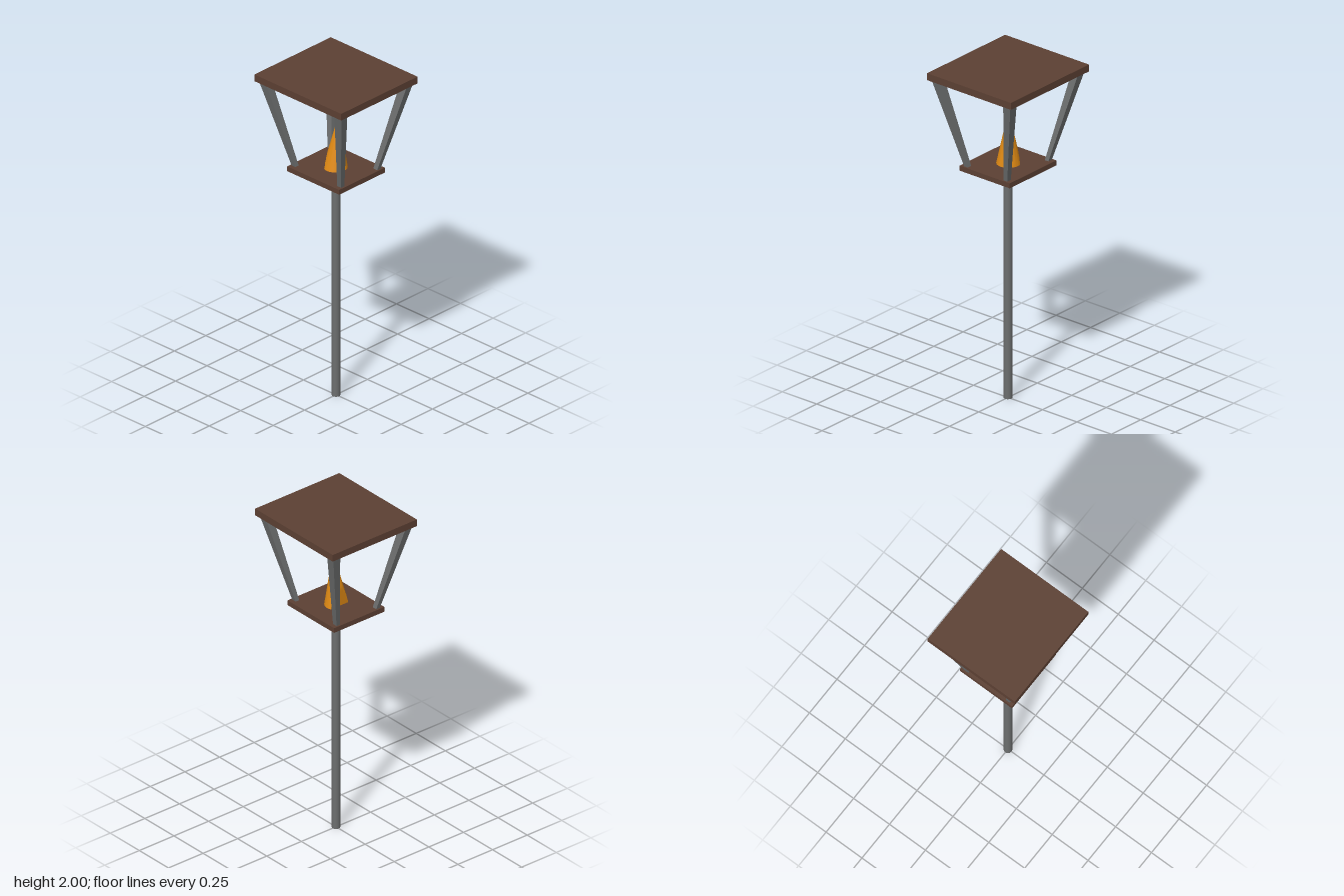
import * as THREE from 'three';
import { toCreasedNormals } from 'three/addons/utils/BufferGeometryUtils.js';

const material = (color) => new THREE.MeshStandardMaterial({ color });

// Move every vertex of a geometry by a rule
function reshape(geometry, rule) {
  const pos = geometry.attributes.position;
  const v = new THREE.Vector3();
  for (let i = 0; i < pos.count; i++) {
    rule(v.fromBufferAttribute(pos, i));
    pos.setXYZ(i, v.x, v.y, v.z);
  }
  geometry.computeVertexNormals();
  return geometry;
}

export function createModel() {
  const group = new THREE.Group();
  const wood = material(0x5c4033);
  const metal = material(0x6c6e6e);
  const fire = material(0xe08a14);

  const add = (name, geometry, mat, y = 0) => {
    const mesh = new THREE.Mesh(geometry, mat);
    mesh.name = name;
    mesh.position.y = y;
    group.add(mesh);
  };

  // Pole
  add('pole', new THREE.CylinderGeometry(0.024, 0.024, 1.4, 32), metal, 0.7);

  // Lantern floor and roof slabs
  add('floorPlate', new THREE.BoxGeometry(0.4, 0.03, 0.364), wood, 1.412);
  add('roofPlate', new THREE.BoxGeometry(0.667, 0.042, 0.608), wood, 1.979);

  // Four corner posts, flaring outward and widening toward the roof
  const mix = THREE.MathUtils.lerp;
  for (const sx of [-1, 1]) {
    for (const sz of [-1, 1]) {
      const post = reshape(new THREE.BoxGeometry(1, 1, 1), (v) => {
        const t = v.y + 0.5;
        v.x = sx * mix(0.175, 0.29, t) + v.x * mix(0.03, 0.054, t);
        v.z = sz * mix(0.143, 0.262, t) + v.z * mix(0.026, 0.048, t);
        v.y = mix(1.425, 1.96, t);
      });
      add(`${sz > 0 ? 'front' : 'back'}${sx > 0 ? 'Left' : 'Right'}Post`, post, metal);
    }
  }

  // Flame: a leaning cone, sliced nearly upright along its right side
  const height = 0.335;
  const flame = reshape(new THREE.CylinderGeometry(0, 0.069, height, 48, 24), (v) => {
    const t = v.y / height + 0.5;
    v.x += -0.005 + 0.015 * t;
    v.z -= 0.013 * t;
    if (t < 0.45) v.x = Math.max(v.x, -0.03 - 0.036 * t);
  });
  add('flame', toCreasedNormals(flame, 0.5), fire, 1.425 + height / 2);

  return group;
}
